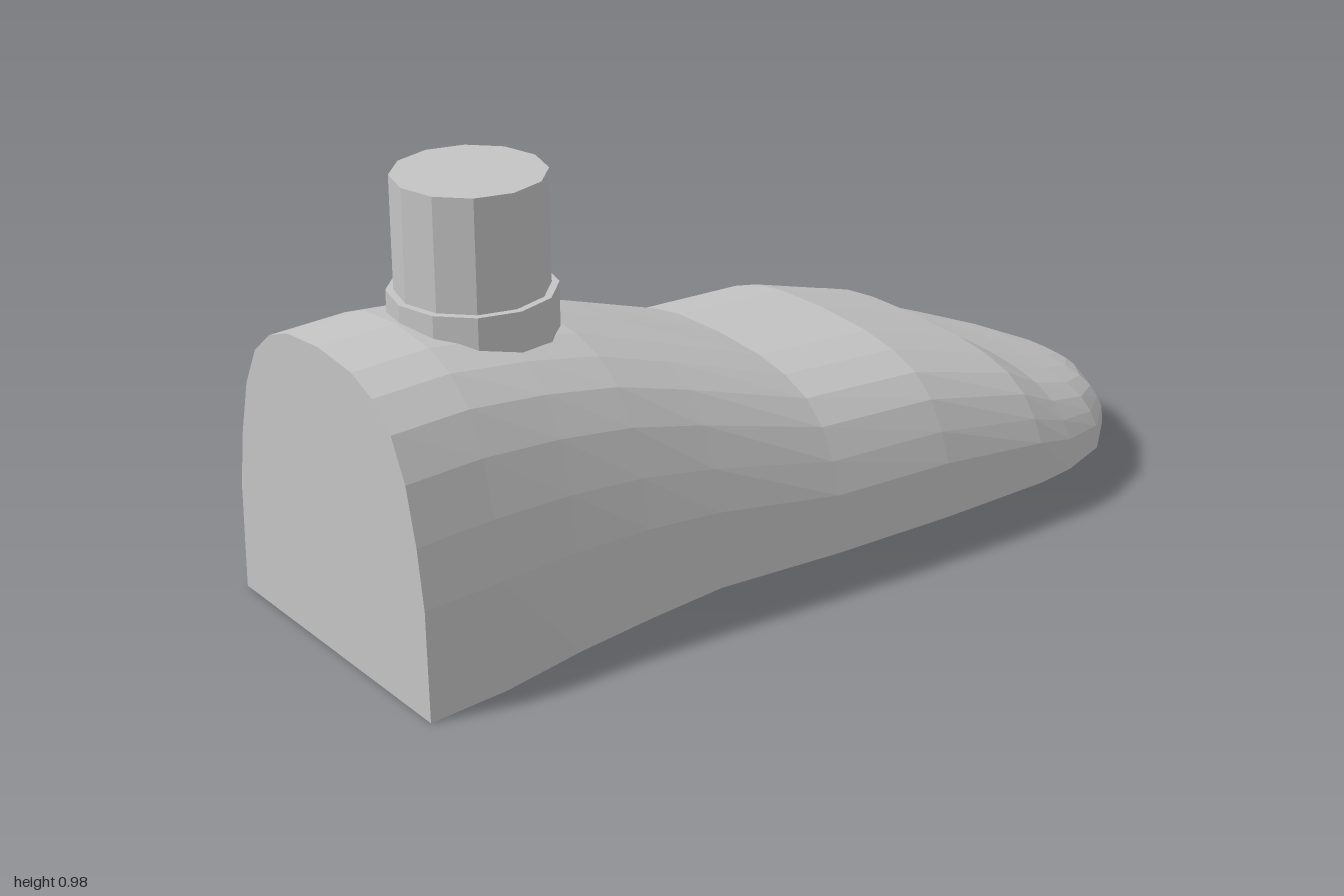
import * as THREE from 'three';

// Loft stations from open heel end to toe: z, half width, sole height, top height
const stations = [
  [1, 0.367, 0, 0.685],
  [0.82, 0.367, 0.01, 0.69],
  [0.64, 0.375, 0.043, 0.667],
  [0.47, 0.387, 0.068, 0.632],
  [0.3, 0.402, 0.09, 0.572],
  [0, 0.43, 0.09, 0.462],
  [-0.3, 0.443, 0.09, 0.443],
  [-0.58, 0.443, 0.09, 0.355],
  [-0.68, 0.43, 0.09, 0.29],
  [-0.81, 0.385, 0.09, 0.238],
  [-0.92, 0.29, 0.09, 0.197],
  [-1, 0.15, 0.09, 0.165],
];

// Half of the arched cross-section, as fractions of half width and height
const arch = [[1, 0], [0.985, 0.36], [0.93, 0.55], [0.845, 0.73], [0.72, 0.86], [0.545, 0.94], [0.34, 0.983], [0, 1]];
const ring = [...arch, ...arch.slice(0, -1).reverse().map(([x, y]) => [-x, y])];

function loftGeometry() {
  const positions = [], index = [], n = ring.length, last = (stations.length - 1) * n;
  for (const [z, w, low, high] of stations)
    for (const [x, y] of ring) positions.push(x * w, low + y * (high - low), z);
  for (let i = 0; i < stations.length - 1; i++)
    for (let j = 0; j < n; j++) {
      const k = (j + 1) % n;
      const a = i * n + j, b = i * n + k, c = a + n, d = b + n;
      index.push(a, c, b, b, c, d);
    }
  // Flat end caps
  for (let j = 1; j < n - 1; j++) {
    index.push(0, j, j + 1);
    index.push(last, last + j + 1, last + j);
  }
  const indexed = new THREE.BufferGeometry();
  indexed.setAttribute('position', new THREE.Float32BufferAttribute(positions, 3));
  indexed.setIndex(index);
  const geometry = indexed.toNonIndexed();
  geometry.computeVertexNormals();
  return geometry;
}

export function createModel() {
  const group = new THREE.Group();
  const grey = new THREE.MeshStandardMaterial({ color: 0xc4c4c4, flatShading: true });
  grey.name = 'plain grey';

  function add(name, geometry, x, y, z) {
    const mesh = new THREE.Mesh(geometry, grey);
    mesh.name = name;
    mesh.position.set(x, y, z);
    group.add(mesh);
  }

  add('footShell', loftGeometry(), 0, 0, 0);
  // Ankle post with its seating collar
  add('ankleCollar', new THREE.CylinderGeometry(0.178, 0.178, 0.127, 12), 0, 0.6635, 0.633);
  add('anklePost', new THREE.CylinderGeometry(0.162, 0.162, 0.355, 12), 0, 0.7975, 0.633);
  // Square pad under the ball of the foot
  add('solePad', new THREE.BoxGeometry(0.63, 0.045, 0.79), 0, 0.0775, -0.485);
  return group;
}
